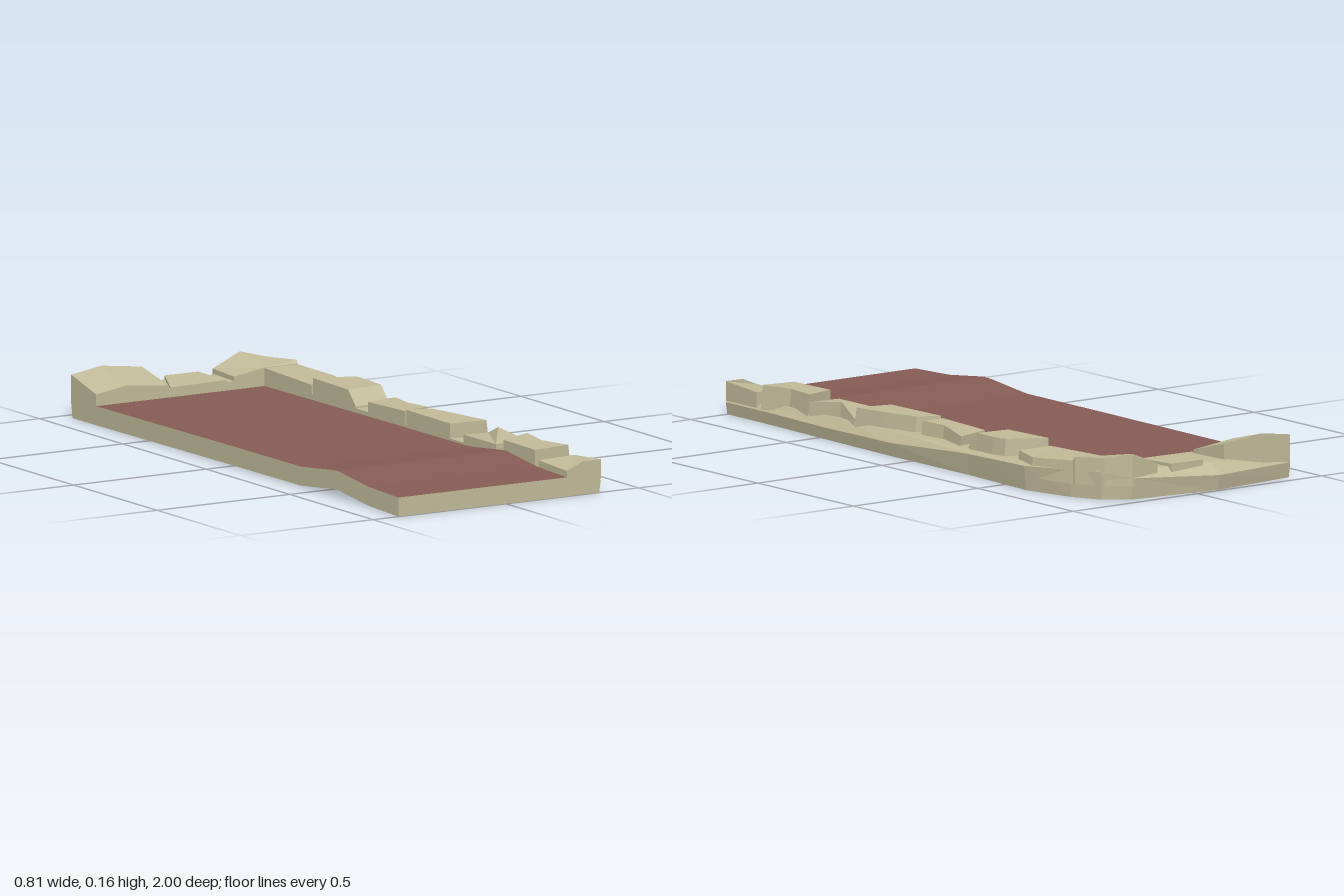
import * as THREE from 'three';

const stone = new THREE.MeshStandardMaterial({ color: 0xc0b998 });
stone.name = 'sandstone';
const clay = new THREE.MeshStandardMaterial({ color: 0x855c54 });
clay.name = 'red clay';

// Flat-faced solid through rings of equal length, capped at both ends
function loft(rings) {
  const tris = [], n = rings[0].length, last = rings[rings.length - 1];
  for (let i = 0; i < rings.length - 1; i++) {
    for (let j = 0; j < n; j++) {
      const k = (j + 1) % n, a = rings[i], b = rings[i + 1];
      tris.push([a[j], a[k], b[k]], [a[j], b[k], b[j]]);
    }
  }
  for (let j = 1; j < n - 1; j++) {
    tris.push([rings[0][0], rings[0][j + 1], rings[0][j]], [last[0], last[j], last[j + 1]]);
  }
  // Turn the faces outward whichever way the rings run
  let volume = 0;
  for (const [a, b, c] of tris) {
    volume += new THREE.Vector3(...a).dot(new THREE.Vector3(...b).cross(new THREE.Vector3(...c)));
  }
  if (volume < 0) tris.forEach((t) => t.reverse());
  const geometry = new THREE.BufferGeometry();
  geometry.setAttribute('position', new THREE.Float32BufferAttribute(tris.flat(2), 3));
  geometry.computeVertexNormals();
  return geometry;
}

// Gentle swell of the path along its length: [z, lift]
const swell = [[1, 0], [0.82, 0.006], [0.63, 0.028], [0.42, 0.005], [0, 0.004], [-0.81, 0]];
function lift(z) {
  for (let i = 0; i < swell.length - 1; i++) {
    const [z0, l0] = swell[i], [z1, l1] = swell[i + 1];
    if (z >= z1 - 1e-6) return l0 + (l1 - l0) * (z0 - z) / (z0 - z1);
  }
  return 0;
}

// Path slab: clay top, stone sides and underside
function makeSlab() {
  let g = new THREE.BoxGeometry(0.635, 0.062, 1.81, 4, 1, 40);
  g.translate(-0.0875, 0.031, 0.095);
  const p = g.attributes.position;
  for (let i = 0; i < p.count; i++) {
    const y = p.getY(i);
    const fade = y > 0.03 ? 1 : (0.23 - p.getX(i)) / 0.635;
    p.setY(i, y + lift(p.getZ(i)) * fade);
  }
  g = g.toNonIndexed();
  g.computeVertexNormals();
  return new THREE.Mesh(g, [stone, stone, clay, stone, stone, stone]);
}

// Kerb base swept around the back and along one side:
// [inner x, inner z, outer x, outer z, edge height, top height]
const kerbPath = [
  [-0.405, -0.81, -0.405, -0.96, 0.05, 0.088],
  [-0.09, -0.81, -0.09, -1, 0.05, 0.088],
  [0.23, -0.81, 0.23, -0.96, 0.07, 0.09],
  [0.23, -0.81, 0.31, -0.9, 0.09, 0.09],
  [0.23, -0.8, 0.36, -0.8, 0.09, 0.09],
  [0.23, -0.62, 0.405, -0.62, 0.08, 0.085],
  [0.23, -0.3, 0.388, -0.3, 0.07, 0.08],
  [0.23, 0.1, 0.387, 0.1, 0.045, 0.075],
  [0.23, 0.45, 0.375, 0.45, 0.04, 0.073],
  [0.23, 0.8, 0.36, 0.8, 0.04, 0.065],
  [0.23, 1, 0.358, 1, 0.04, 0.065],
];
function makeKerb() {
  return loft(kerbPath.map(([ix, iz, ox, oz, edge, top]) => {
    const at = (t, y) => [ix + (ox - ix) * t, y, iz + (oz - iz) * t];
    return [at(0, 0), at(0.95, 0), at(1, edge), at(0.8, top), at(0, top)];
  }));
}

// Stones standing on the kerb; each lists its top corners as [x, y, z]
const sideStones = [
  [[0.23, 0.083, 1], [0.29, 0.108, 1], [0.358, 0.108, 1], [0.358, 0.096, 0.84], [0.23, 0.09, 0.83]],
  [[0.23, 0.12, 0.81], [0.355, 0.124, 0.81], [0.325, 0.124, 0.7], [0.345, 0.126, 0.58], [0.23, 0.122, 0.62]],
  [[0.23, 0.1, 0.575], [0.345, 0.102, 0.575], [0.33, 0.122, 0.43], [0.355, 0.085, 0.33], [0.23, 0.1, 0.38]],
  [[0.23, 0.122, 0.3], [0.355, 0.124, 0.32], [0.335, 0.124, 0.2], [0.305, 0.126, 0.07], [0.23, 0.124, 0.04]],
  [[0.23, 0.118, 0.03], [0.32, 0.122, 0.02], [0.31, 0.12, -0.08], [0.35, 0.11, -0.22], [0.23, 0.112, -0.19]],
  [[0.23, 0.132, -0.31], [0.355, 0.135, -0.31], [0.36, 0.136, -0.4], [0.355, 0.138, -0.46], [0.23, 0.136, -0.52]],
  [[0.23, 0.112, -0.53], [0.355, 0.112, -0.53], [0.385, 0.108, -0.64], [0.355, 0.12, -0.81], [0.23, 0.12, -0.81]],
];
const backStones = [
  // tall ridged block
  [[-0.29, 0.118, -0.81], [-0.13, 0.1, -0.81], [-0.142, 0.14, -0.955], [-0.29, 0.157, -0.962], [-0.405, 0.14, -0.96], [-0.405, 0.1, -0.81]],
  // low slab
  [[-0.125, 0.094, -0.81], [0.085, 0.096, -0.81], [0.075, 0.1, -0.962], [-0.05, 0.1, -0.965]],
  // rising corner block
  [[0.23, 0.122, -0.81], [0.355, 0.122, -0.81], [0.355, 0.133, -0.82], [0.3, 0.135, -0.905], [0.23, 0.15, -0.96], [0.125, 0.106, -0.955], [0.115, 0.104, -0.81]],
];
function makeStone(top, flare) {
  const foot = top.map(([x, , z]) => [x > 0.3 ? x + flare : x, 0.045, z]);
  return loft([foot, top]);
}

export function createModel() {
  const model = new THREE.Group();
  const add = (name, mesh) => {
    mesh.name = name;
    model.add(mesh);
  };
  add('pathSlab', makeSlab());
  add('kerbBase', new THREE.Mesh(makeKerb(), stone));
  sideStones.forEach((s, i) => add(`sideStone${i + 1}`, new THREE.Mesh(makeStone(s, i ? 0.01 : 0), stone)));
  backStones.forEach((s, i) => add(`backStone${i + 1}`, new THREE.Mesh(makeStone(s, 0), stone)));
  // Sloping lead-in to the highest side stone
  add('sideStoneRamp', new THREE.Mesh(makeStone(
    [[0.23, 0.085, -0.265], [0.355, 0.085, -0.265], [0.355, 0.135, -0.31], [0.23, 0.132, -0.31]], 0.01), stone));
  return model;
}
